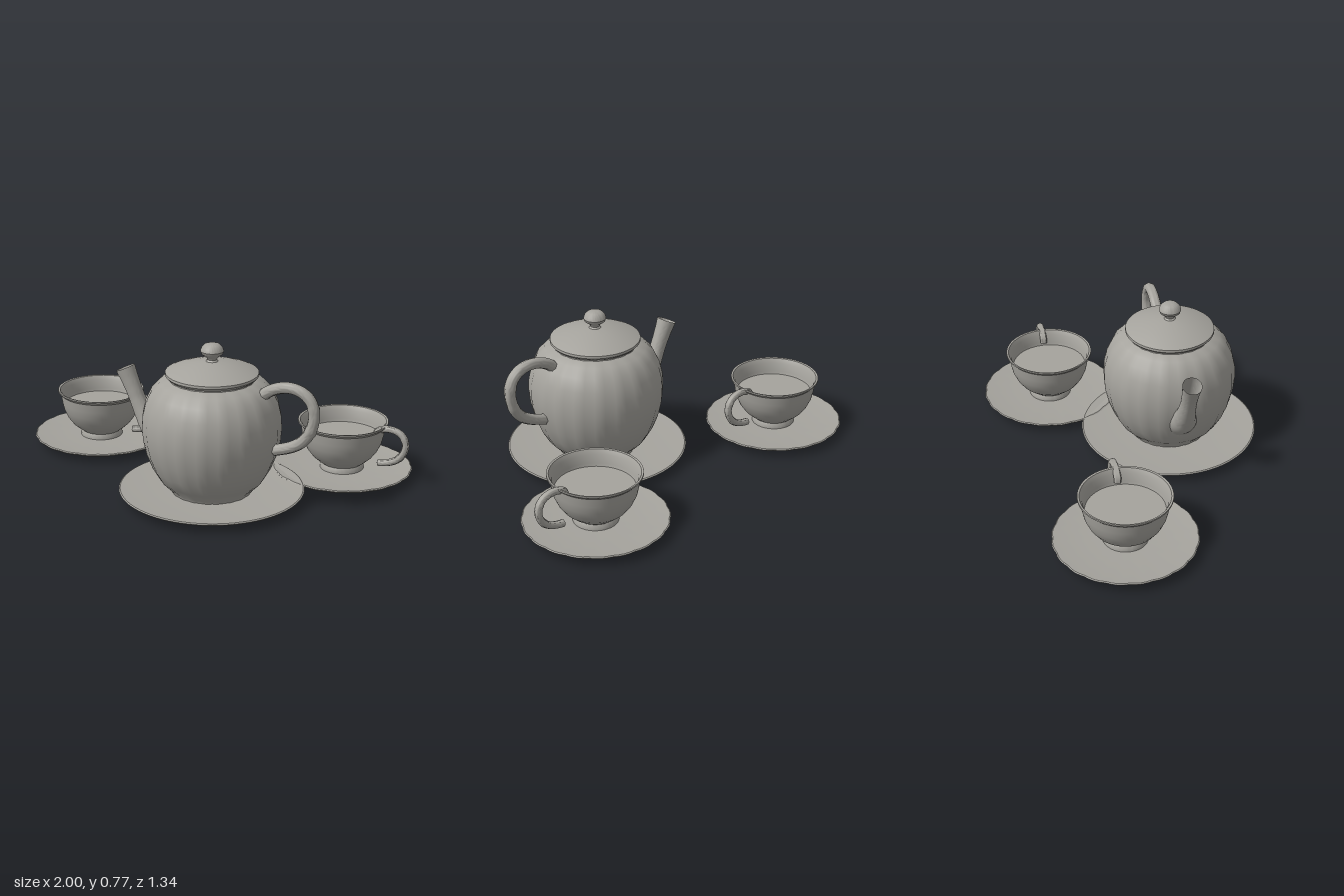
import * as THREE from 'three';
import { toCreasedNormals } from 'three/addons/utils/BufferGeometryUtils.js';

const porcelain = new THREE.MeshStandardMaterial({ color: 0xa5a39d, side: THREE.DoubleSide });
porcelain.name = 'grey porcelain';

function mesh(name, geometry) {
  const m = new THREE.Mesh(geometry, porcelain);
  m.name = name;
  return m;
}

// Turned part; depth scallops the wall into the given number of lobes
function turned(name, profile, lobes = 0, depth = 0) {
  const g = new THREE.LatheGeometry(profile.map(([r, y]) => new THREE.Vector2(r, y)), 80);
  const p = g.attributes.position;
  for (let i = 0; i < p.count; i++) {
    const a = Math.atan2(p.getZ(i), p.getX(i));
    const k = 1 - depth * (1 - Math.abs(Math.cos(a * lobes / 2)));
    p.setX(i, p.getX(i) * k);
    p.setZ(i, p.getZ(i) * k);
  }
  return mesh(name, toCreasedNormals(g, 0.6));
}

// Tube along a path in the xy plane whose radius follows radius(t, angle)
function sweep(name, points, steps, sides, radius) {
  const path = new THREE.CatmullRomCurve3(points.map(([x, y]) => new THREE.Vector3(x, y, 0)));
  const g = new THREE.TubeGeometry(path, steps, 1, sides);
  const p = g.attributes.position, v = new THREE.Vector3();
  for (let i = 0; i <= steps; i++) {
    const c = path.getPointAt(i / steps);
    for (let j = 0; j <= sides; j++) {
      const n = i * (sides + 1) + j;
      v.fromBufferAttribute(p, n).sub(c).multiplyScalar(radius(i / steps, j / sides * Math.PI * 2)).add(c);
      p.setXYZ(n, v.x, v.y, v.z);
    }
  }
  return mesh(name, toCreasedNormals(g, 0.9));
}

// Fluted handle, closed at both ends, with slightly swollen joints
function handle(name, points, r, joints = []) {
  return sweep(name, points, 48, 24, (t, a) => {
    if (t === 0 || t === 1) return 0;
    const swell = joints.some(j => Math.abs(t - j) < 0.015) ? 1.07 : 1;
    return r * swell * (0.95 + 0.05 * Math.cos(a * 8));
  });
}

// Shallow dish with a small flat foot
function saucer(r, lobes, depth) {
  return turned('saucer', [
    [0, 0.006], [r * 0.3, 0.005], [r * 0.42, 0], [r * 0.45, 0.004], [r * 0.56, 0.016],
    [r * 0.78, 0.026], [r * 0.98, 0.038], [r, 0.046], [r * 0.985, 0.05],
    [r * 0.8, 0.043], [r * 0.5, 0.038], [0, 0.037],
  ], lobes, depth);
}

function teapot() {
  const pot = new THREE.Group();
  pot.name = 'teapot';
  pot.add(turned('potBody', [
    [0, 0.036], [0.195, 0.036], [0.2, 0.05], [0.25, 0.1], [0.285, 0.16], [0.312, 0.23],
    [0.328, 0.3], [0.333, 0.36], [0.33, 0.42], [0.316, 0.48], [0.288, 0.54],
    [0.25, 0.58], [0.205, 0.597], [0.2, 0.612], [0, 0.612],
  ], 20, 0.018));
  pot.add(turned('lid', [
    [0, 0.6], [0.2, 0.6], [0.212, 0.608], [0.221, 0.618], [0.22, 0.63], [0.195, 0.641],
    [0.14, 0.66], [0.085, 0.674], [0.03, 0.682], [0, 0.684],
  ]));
  pot.add(turned('lidKnob', [
    [0.032, 0.678], [0.022, 0.69], [0.026, 0.7], [0.05, 0.718], [0.055, 0.732],
    [0.05, 0.748], [0.036, 0.763], [0.018, 0.768], [0, 0.769],
  ]));

  // Spout: flared root, narrow neck, wider open mouth
  const widths = [0.085, 0.072, 0.056, 0.047, 0.042, 0.039, 0.04, 0.043, 0.048];
  pot.add(sweep('spout', [
    [-0.25, 0.25], [-0.3, 0.28], [-0.345, 0.33], [-0.385, 0.4], [-0.425, 0.49], [-0.466, 0.58],
  ], 32, 32, t => {
    const f = t * (widths.length - 1), i = Math.min(Math.floor(f), widths.length - 2);
    return THREE.MathUtils.lerp(widths[i], widths[i + 1], f - i);
  }));

  pot.add(handle('potHandle', [
    [0.235, 0.52], [0.275, 0.565], [0.335, 0.598], [0.4, 0.61], [0.46, 0.597], [0.503, 0.56],
    [0.52, 0.5], [0.507, 0.425], [0.47, 0.365], [0.415, 0.325], [0.31, 0.287],
  ], 0.028, [0.06, 0.5, 0.66]));
  return pot;
}

function cup() {
  const c = new THREE.Group();
  c.name = 'cup';
  c.add(turned('cupBowl', [
    [0, 0.036], [0.108, 0.036], [0.107, 0.052], [0.1, 0.065], [0.12, 0.08], [0.15, 0.106],
    [0.175, 0.14], [0.193, 0.18], [0.202, 0.22], [0.208, 0.265], [0.223, 0.28], [0.222, 0.287],
    [0.212, 0.285], [0.199, 0.262], [0.192, 0.22], [0.183, 0.18], [0.14, 0.11], [0, 0.09],
  ]));
  const tea = mesh('tea', new THREE.CircleGeometry(0.191, 64).rotateX(-Math.PI / 2));
  tea.position.y = 0.205;
  c.add(tea);
  c.add(handle('cupHandle', [
    [0.172, 0.222], [0.18, 0.255], [0.215, 0.272], [0.262, 0.274], [0.304, 0.256], [0.327, 0.212],
    [0.317, 0.162], [0.283, 0.122], [0.235, 0.1], [0.182, 0.091],
  ], 0.018, [0.45, 0.7]));
  return c;
}

export function createModel() {
  const set = new THREE.Group();
  set.name = 'teaSet';

  const potSetting = new THREE.Group();
  potSetting.name = 'teapotSetting';
  potSetting.add(saucer(0.446, 0, 0), teapot());
  potSetting.position.set(0.196, 0, 0.218);
  set.add(potSetting);

  // Two cups on scalloped saucers
  for (const [x, z] of [[-0.651, -0.187], [0.651, -0.324]]) {
    const setting = new THREE.Group();
    setting.name = 'cupSetting';
    setting.add(saucer(0.348, 20, 0.014), cup());
    setting.position.set(x, 0, z);
    set.add(setting);
  }
  return set;
}
